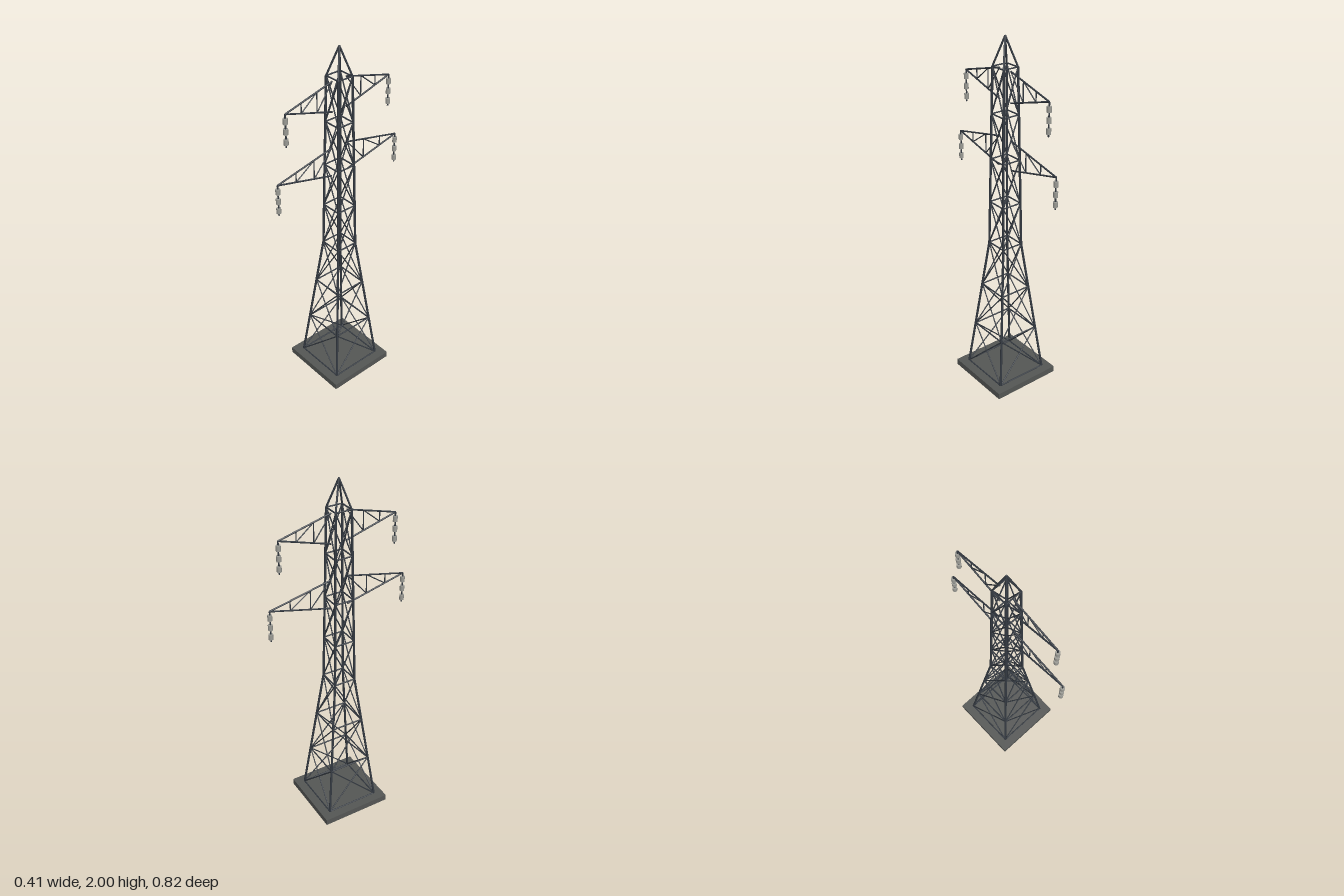
import * as THREE from 'three';

const steel = new THREE.MeshStandardMaterial({ color: 0x343a42 });
const concrete = new THREE.MeshStandardMaterial({ color: 0x555755 });
const ceramic = new THREE.MeshStandardMaterial({ color: 0x9c9c96 });
const v = (x, y, z) => new THREE.Vector3(x, y, z);

// Round steel member between two points
function strut(parent, name, a, b, radius) {
  const dir = b.clone().sub(a);
  const mesh = new THREE.Mesh(new THREE.CylinderGeometry(radius, radius, dir.length(), 8), steel);
  mesh.position.copy(a).add(b).multiplyScalar(0.5);
  mesh.quaternion.setFromUnitVectors(v(0, 1, 0), dir.normalize());
  mesh.name = name;
  parent.add(mesh);
}

// Hanging string of three insulators
function insulatorString(tip) {
  const g = new THREE.Group();
  g.name = 'insulatorString';
  strut(g, 'hangerRod', v(0, 0, 0), v(0, -0.175, 0), 0.004);
  for (const y of [-0.036, -0.091, -0.146]) {
    const disc = new THREE.Mesh(new THREE.CylinderGeometry(0.0125, 0.0125, 0.03, 12), ceramic);
    disc.position.y = y;
    disc.name = 'insulator';
    g.add(disc);
  }
  g.position.copy(tip);
  return g;
}

// Flat triangular truss arm; side is +1 (front) or -1 (back)
function crossArm(side, rootZ, tipZ, tipY) {
  const g = new THREE.Group();
  g.name = 'crossArm';
  const tip = v(0, tipY, side * tipZ);
  const top = v(0, tipY + 0.077, side * rootZ);
  const bottom = v(0, tipY - 0.085, side * rootZ);
  strut(g, 'upperChord', top, tip, 0.0045);
  strut(g, 'lowerChord', bottom, tip, 0.0045);
  for (let i = 1; i <= 2; i++) {
    const low = bottom.clone().lerp(tip, i / 3);
    strut(g, 'armPost', top.clone().lerp(tip, i / 3), low, 0.003);
    strut(g, 'armDiagonal', top.clone().lerp(tip, (i - 1) / 3), low, 0.003);
  }
  g.add(insulatorString(tip));
  return g;
}

export function createModel() {
  const model = new THREE.Group();
  model.name = 'transmissionTower';

  const slab = new THREE.Mesh(new THREE.BoxGeometry(0.41, 0.036, 0.41), concrete);
  slab.position.y = 0.018;
  slab.name = 'foundationSlab';
  model.add(slab);

  // Lattice body: [height, half width] of every ring
  const levels = [
    [0.038, 0.153], [0.31, 0.122], [0.582, 0.092], [0.855, 0.062],
    [1.102, 0.058], [1.35, 0.0535], [1.598, 0.049], [1.845, 0.045],
  ];
  const corners = [[1, 1], [-1, 1], [-1, -1], [1, -1]];
  const point = (level, c) => {
    const [y, w] = levels[level];
    const [sx, sz] = corners[c % 4];
    return v(sx * w, y, sz * w);
  };
  const body = new THREE.Group();
  body.name = 'latticeBody';
  const last = levels.length - 1;
  for (let c = 0; c < 4; c++) {
    strut(body, 'lowerLeg', point(0, c), point(3, c), 0.0065);
    strut(body, 'upperLeg', point(3, c), point(last, c), 0.0065);
    for (let i = 0; i <= last; i++) {
      strut(body, 'ringBar', point(i, c), point(i, c + 1), 0.004);
      if (i === last) continue;
      strut(body, 'crossBrace', point(i, c), point(i + 1, c + 1), 0.0035);
      strut(body, 'crossBrace', point(i, c + 1), point(i + 1, c), 0.0035);
    }
    // Peak
    strut(body, 'peakBar', point(last, c), v(0, 1.998, 0), 0.005);
  }
  model.add(body);

  // Two pairs of arms, the lower pair longer
  for (const side of [1, -1]) {
    model.add(crossArm(side, 0.045, 0.334, 1.753));
    model.add(crossArm(side, 0.052, 0.398, 1.39));
  }
  return model;
}
